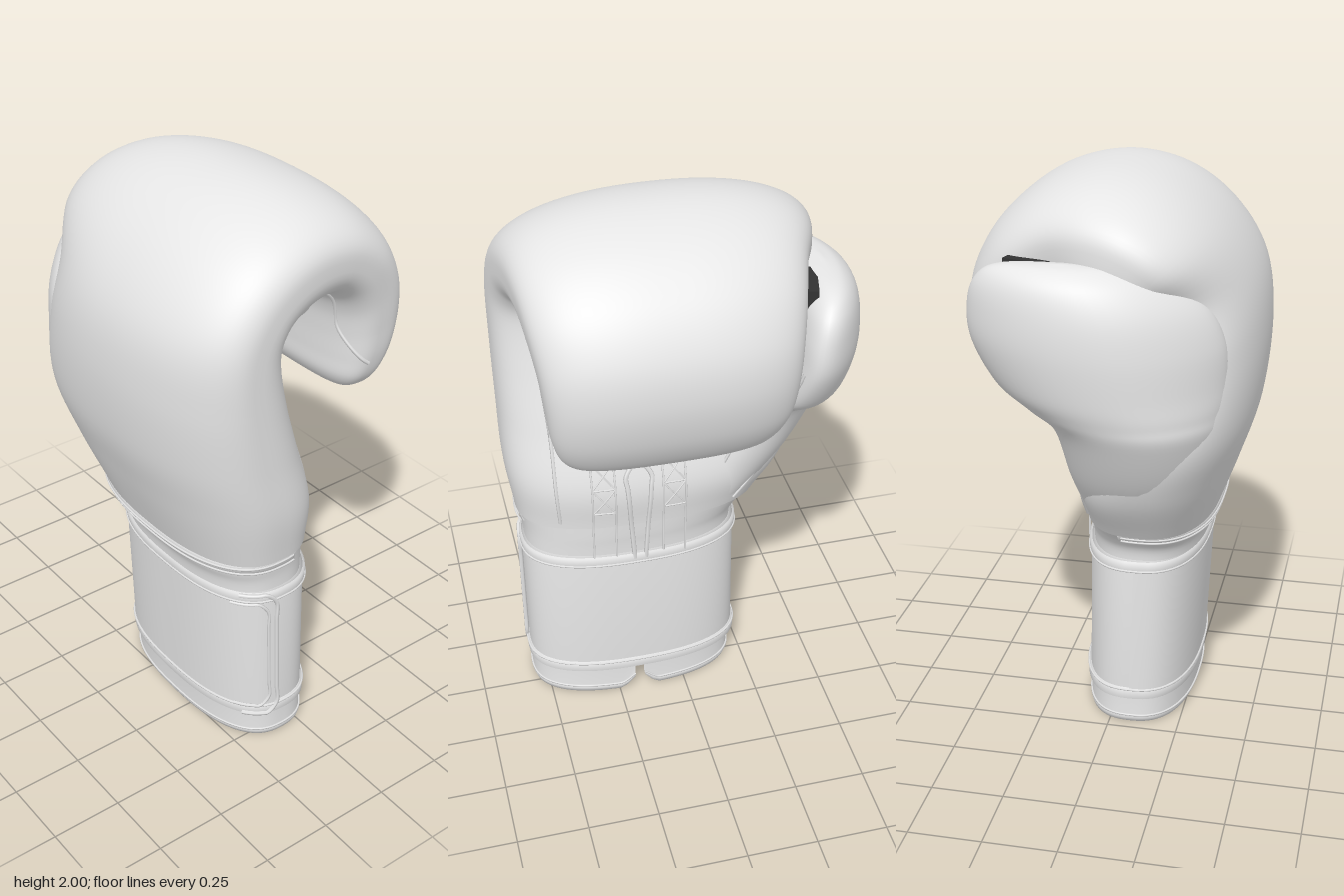
import * as THREE from 'three';
import { mergeVertices } from 'three/addons/utils/BufferGeometryUtils.js';

const TAU = Math.PI * 2;
const leather = new THREE.MeshStandardMaterial({ color: 0xe6e6e6, side: THREE.DoubleSide });
leather.name = 'light grey leather';
const dark = new THREE.MeshStandardMaterial({ color: 0x333333 });
dark.name = 'dark webbing';

const pow = (v, n) => Math.sign(v) * Math.abs(v) ** (2 / n);

// Smooth interpolation through a list of stations
function spline(stations, cols) {
  const pts = stations.map(s => new THREE.Vector3(s[cols[0]], s[cols[1]], s[cols[2]]));
  const curve = new THREE.CatmullRomCurve3(pts, false, 'catmullrom', 0.5);
  return t => curve.getPoint(t);
}

// Surface from fn(u, a): u runs along the part, a runs around it
function surface(fn, nu, na, a0 = 0, a1 = TAU) {
  const pos = [], idx = [];
  for (let i = 0; i <= nu; i++)
    for (let j = 0; j <= na; j++) pos.push(...fn(i / nu, a0 + (a1 - a0) * j / na).toArray());
  for (let i = 0; i < nu; i++)
    for (let j = 0; j < na; j++) {
      const p = i * (na + 1) + j, q = p + na + 1;
      idx.push(p, q, p + 1, p + 1, q, q + 1);
    }
  let g = new THREE.BufferGeometry();
  g.setAttribute('position', new THREE.Float32BufferAttribute(pos, 3));
  g.setIndex(idx);
  g = mergeVertices(g, 1e-5);
  g.computeVertexNormals();
  return g;
}

// Mitt: outer z, outer y, left x, inner z, inner y, right x
const mittStations = [
  [.345, .79, -.31, -.115, .79, .568], [.42, 1.0, -.43, -.122, .95, .593],
  [.48, 1.2, -.48, -.06, 1.15, .594], [.5, 1.45, -.42, .015, 1.36, .594],
  [.465, 1.66, -.37, .055, 1.52, .594], [.35, 1.84, -.46, .04, 1.585, .59],
  [.18, 1.96, -.475, 0, 1.61, .58], [-.02, 2.0, -.445, -.06, 1.625, .565],
  [-.22, 1.955, -.39, -.12, 1.625, .55], [-.38, 1.84, -.355, -.17, 1.59, .535],
  [-.475, 1.69, -.33, -.195, 1.53, .518], [-.5, 1.54, -.315, -.205, 1.45, .505],
  [-.475, 1.39, -.295, -.21, 1.36, .49], [-.42, 1.28, -.255, -.215, 1.29, .46],
  [-.36, 1.23, -.195, -.245, 1.24, .4], [-.3, 1.217, -.08, -.29, 1.22, .3],
];
const outer = spline(mittStations, [0, 1, 2]), inner = spline(mittStations, [3, 4, 5]);
// The back of the hand is rounder than the palm side
const outerSquare = u => 2.15 + .35 * Math.max(0, 1 - u / .2) + .8 * u * u;
const innerSquare = u => 2.6 + .5 * Math.min(1, u / .2);
function mittPoint(u, a) {
  const n = Math.sin(a) > 0 ? outerSquare(u) : innerSquare(u);
  const P = outer(u), Q = inner(u), c = pow(Math.cos(a), n), s = pow(Math.sin(a), n);
  return new THREE.Vector3(
    (P.z + Q.z) / 2 + c * (Q.z - P.z) / 2,
    (P.y + Q.y) / 2 + s * (P.y - Q.y) / 2,
    (P.x + Q.x) / 2 + s * (P.x - Q.x) / 2);
}

// Point on the palm at (x, y)
function palmPoint(x, y) {
  let p;
  for (let u = 0; u < .25; u += .002) {
    const l = outer(u).z, r = inner(u).z, s = (2 * x - l - r) / (r - l);
    p = mittPoint(u, -Math.acos(pow(Math.max(-1, Math.min(1, s)), 4 / innerSquare(u))));
    if (p.y >= y) break;
  }
  return new THREE.Vector3(x, y, p.z - .004);
}

// Upright part from rings of y, x0, x1, z0, z1; bend curls front and back toward +x
function upright(rings, n, bend = 0, smooth = false) {
  const X = spline(rings, [0, 1, 2]), Z = spline(rings, [0, 3, 4]);
  return (u, a) => {
    let p, q;
    if (smooth) { p = X(u); q = Z(u); } else {
      const f = u * (rings.length - 1), i = Math.min(Math.floor(f), rings.length - 2);
      const r = rings[i].map((v, k) => v + (rings[i + 1][k] - v) * (f - i));
      p = { x: r[0], y: r[1], z: r[2] };
      q = { y: r[3], z: r[4] };
    }
    const dz = pow(Math.sin(a), n) * (q.z - q.y) / 2;
    return new THREE.Vector3(
      (p.y + p.z) / 2 + pow(Math.cos(a), n) * (p.z - p.y) / 2 + bend * dz * dz * (dz > 0 ? 1.8 : 1),
      p.x, (q.y + q.z) / 2 + dz);
  };
}

// Cuff ring at height y, pushed outward by o
const cuffRing = (y, o) => {
  const t = (y - .11) / .55;
  return [y, -.228 - o, .553 + o, -.122 + .006 * t - o, .272 + .026 * t + o];
};
const cuffPoint = (a, y, o) => upright([cuffRing(y, o), cuffRing(y + .01, o)], 2.5)(0, a);

export function createModel() {
  const glove = new THREE.Group();
  glove.name = 'boxingGlove';
  const add = (name, geo, mat = leather) => {
    const m = new THREE.Mesh(geo, mat);
    m.name = name;
    glove.add(m);
    return m;
  };
  const seam = (name, pts, r = .005, closed = false) => add(name,
    new THREE.TubeGeometry(new THREE.CatmullRomCurve3(pts, closed), pts.length * 4, r, 5, closed));
  const steps = (n, fn) => Array.from({ length: n + 1 }, (_, i) => fn(i / n));

  // Padded mitt curling over into the fingers
  add('paddedMitt', surface(mittPoint, 100, 80));
  for (const right of [true, false])
    seam('mittPiping', steps(60, t => {
      const a = -.9 + .75 * Math.max(0, (t - .85) / .15) ** 2;
      return mittPoint(.01 + t * .8, right ? a : Math.PI - a);
    }), .007);
  add('gripPad', new THREE.CapsuleGeometry(.055, .55, 8, 20).rotateZ(Math.PI / 2)
    .scale(1, 1, 1.6).translate(.07, 1.595, -.07));

  // Thumb, its front flank blending into the mitt
  const thumbPoint = upright([
    [.82, -.28, -.02, -.09, .25], [1.0, -.44, -.08, -.125, .36], [1.2, -.548, -.16, -.16, .4],
    [1.28, -.575, -.22, -.25, .41], [1.36, -.59, -.27, -.345, .415], [1.5, -.6, -.32, -.415, .405],
    [1.62, -.59, -.335, -.42, .35], [1.71, -.56, -.355, -.385, .24], [1.76, -.51, -.4, -.3, .1],
    [1.775, -.455, -.455, -.1, -.1]], 2.1, .5, true);
  add('thumb', surface(thumbPoint, 60, 56));
  seam('thumbSeam', steps(24, t => thumbPoint(.06 + t * .5, -1.1)), .006);
  const strap = add('thumbStrap', new THREE.BoxGeometry(.036, .11, .155), dark);
  strap.position.set(-.388, 1.708, -.223);
  strap.rotation.y = -.26;

  // Neck between mitt and cuff
  add('neck', surface(upright([
    [.6, -.215, .545, -.105, .295], [.69, -.22, .545, -.108, .305],
    [.74, -.25, .55, -.112, .325], [.8, -.305, .56, -.115, .34]], 2.5, 0, true), 16, 64));
  add('collarBand', surface(upright([
    [.752, -.26, .545, -.11, .325], [.755, -.278, .56, -.115, .343],
    [.788, -.31, .569, -.118, .352], [.795, -.3, .56, -.11, .34]], 2.5), 3, 48, -.22, Math.PI + .22));
  for (const [y, x0, z1] of [[.762, -.288, .347], [.782, -.306, .353]])
    seam('collarStitch', steps(40, t => upright(
      [[y, x0, .568, -.12, z1], [y + .01, x0, .568, -.12, z1]], 2.5)(0, -.17 + t * (Math.PI + .34))), .004);

  // Wrist cuff with raised edge bands
  add('cuff', surface(upright([
    cuffRing(.11, -.02), cuffRing(.112, 0), cuffRing(.66, 0), cuffRing(.66, -.03)], 2.5), 3, 72));
  for (const [y0, y1] of [[.11, .155], [.618, .66]]) {
    add('cuffBand', surface(upright([
      cuffRing(y0, 0), cuffRing(y0 + .003, .008), cuffRing(y1 - .003, .008), cuffRing(y1, -.01)], 2.5), 3, 72));
    const y = y0 < .3 ? y1 - .006 : y0 + .006;
    seam('cuffStitch', steps(64, t => cuffPoint(t * TAU, y, .008)).slice(0, -1), .004, true);
  }

  // Overlapping closure flap with a bound, rounded end
  add('closureFlap', surface(upright([
    cuffRing(.15, 0), cuffRing(.152, .005), cuffRing(.622, .005), cuffRing(.624, 0)], 2.5), 3, 40, .1, Math.PI));
  const flapEdge = (a, y0, y1) => [
    ...steps(4, t => cuffPoint(a + .55 - t * .4, y0, .011)),
    ...steps(6, t => cuffPoint(a, y0 + .04 + t * (y1 - y0 - .08), .009)),
    ...steps(4, t => cuffPoint(a + .15 + t * .4, y1, .011))];
  seam('flapEdge', flapEdge(.1, .118, .652), .008);
  seam('flapStitch', flapEdge(.22, .155, .615), .006);

  // Hollow lining below the cuff, with a round-cornered slit at the back
  const slit = .025, start = -Math.PI / 2 + slit, end = Math.PI * 1.5 - slit;
  const roundCorners = fn => (u, a) => {
    const p = fn(u, a), d = Math.min(a - start, end - a);
    p.y += .05 * Math.max(0, 1 - d / .12) ** 2 * Math.max(0, 1 - p.y / .12);
    return p;
  };
  add('wristLining', surface(roundCorners(upright([
    [.6, -.185, .525, -.085, .26], [.02, -.185, .525, -.1, .242], [.003, -.195, .535, -.11, .25],
    [.003, -.207, .547, -.122, .262], [.02, -.215, .553, -.125, .27], [.035, -.21, .548, -.12, .267],
    [.12, -.21, .548, -.12, .272]], 2.5)), 6, 120, start, end));
  const hem = roundCorners(upright([[.03, -.213, .551, -.123, .27], [.04, -.213, .551, -.123, .27]], 2.5));
  seam('hemStitch', steps(70, t => hem(0, start + t * (end - start))), .004);

  // Palm opening, stitched straps and vent holes
  const mid = .16;
  seam('palmOpening', [
    ...steps(8, t => palmPoint(mid - .02 - .025 * t, .64 + .36 * t)),
    palmPoint(mid, 1.05),
    ...steps(8, t => palmPoint(mid + .045 - .025 * t, 1 - .36 * t))], .009);
  for (const side of [-1, 1]) {
    const [x0, x1] = [.085, .165].map(d => mid + side * d);
    for (const x of [x0, x1])
      seam('strapStitch', steps(12, t => palmPoint(x, .64 + .52 * t)), .004);
    for (const y of [.86, .96]) {
      seam('strapCross', steps(4, t => palmPoint(x0 + (x1 - x0) * t, y + .1 * t)), .003);
      seam('strapCross', steps(4, t => palmPoint(x1 + (x0 - x1) * t, y + .1 * t)), .003);
      seam('strapBar', steps(4, t => palmPoint(x0 + (x1 - x0) * t, y)), .003);
    }
  }
  for (let i = 0; i < 4; i++) {
    const vent = add('ventEyelet', new THREE.TorusGeometry(.009, .004, 6, 12));
    vent.position.copy(palmPoint(mid - .12 + i * .08, 1.2));
  }
  const thumbVent = add('thumbEyelet', new THREE.TorusGeometry(.009, .004, 6, 12));
  thumbVent.position.copy(thumbPoint(.24, -1.6));
  return glove;
}
